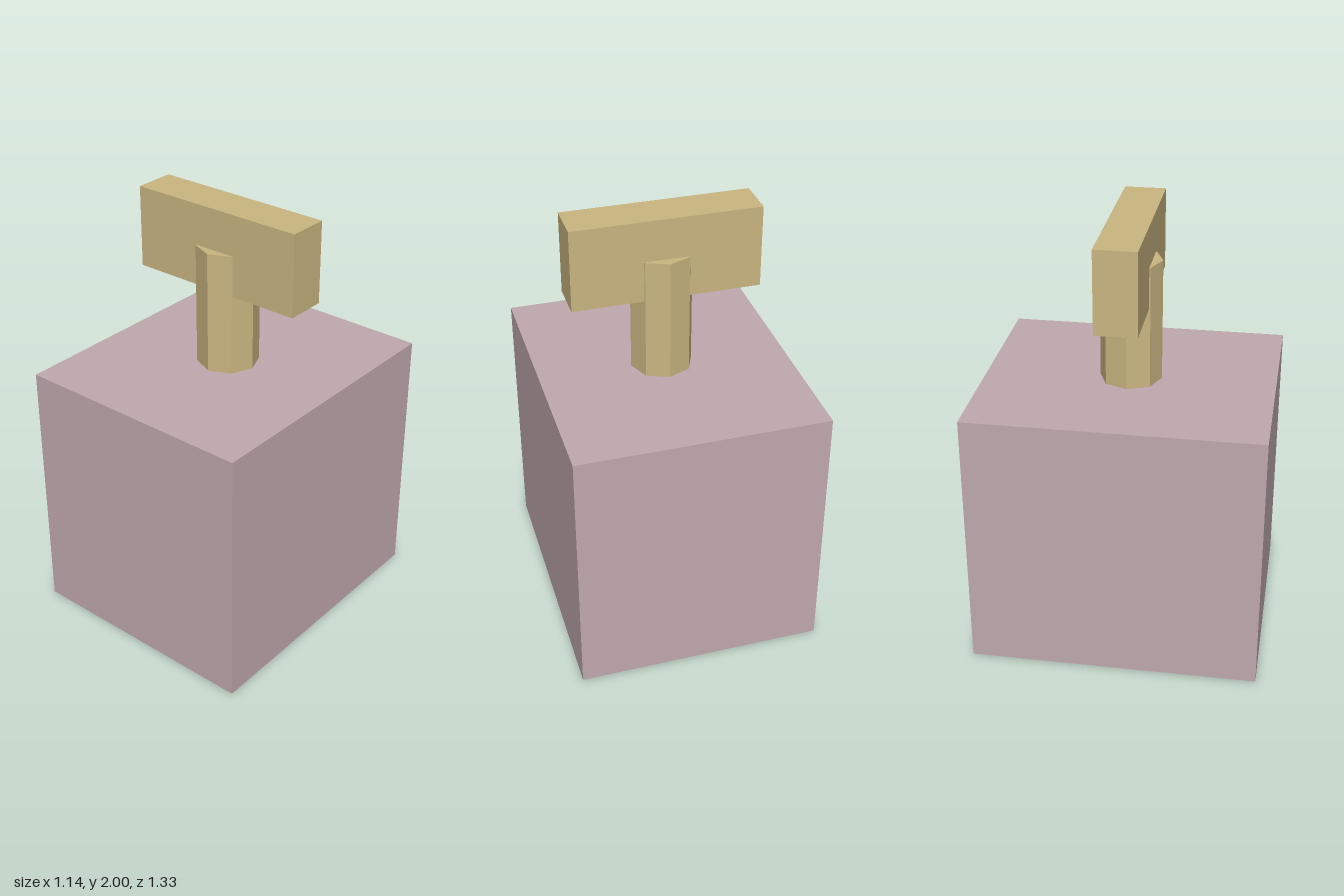
import * as THREE from 'three';

// One grid unit; the model is 21 units tall
const U = 2 / 21;

export function createModel() {
  const group = new THREE.Group();
  const mauve = new THREE.MeshStandardMaterial({ name: 'dusty mauve', color: 0xc0a9af });
  const brass = new THREE.MeshStandardMaterial({ name: 'pale brass', color: 0xcab681, flatShading: true });

  const add = (name, geometry, material, y) => {
    const mesh = new THREE.Mesh(geometry, material);
    mesh.name = name;
    mesh.position.y = y * U;
    group.add(mesh);
  };

  // Block body
  add('body', new THREE.BoxGeometry(12 * U, 13 * U, 14 * U), mauve, 6.5);
  // Octagonal stem, rising halfway into the crossbar
  add('stem', new THREE.CylinderGeometry(1.5 * U, 1.5 * U, 6 * U, 8), brass, 16);
  // Crossbar handle
  add('crossbar', new THREE.BoxGeometry(9 * U, 4 * U, 2 * U), brass, 19);

  return group;
}
